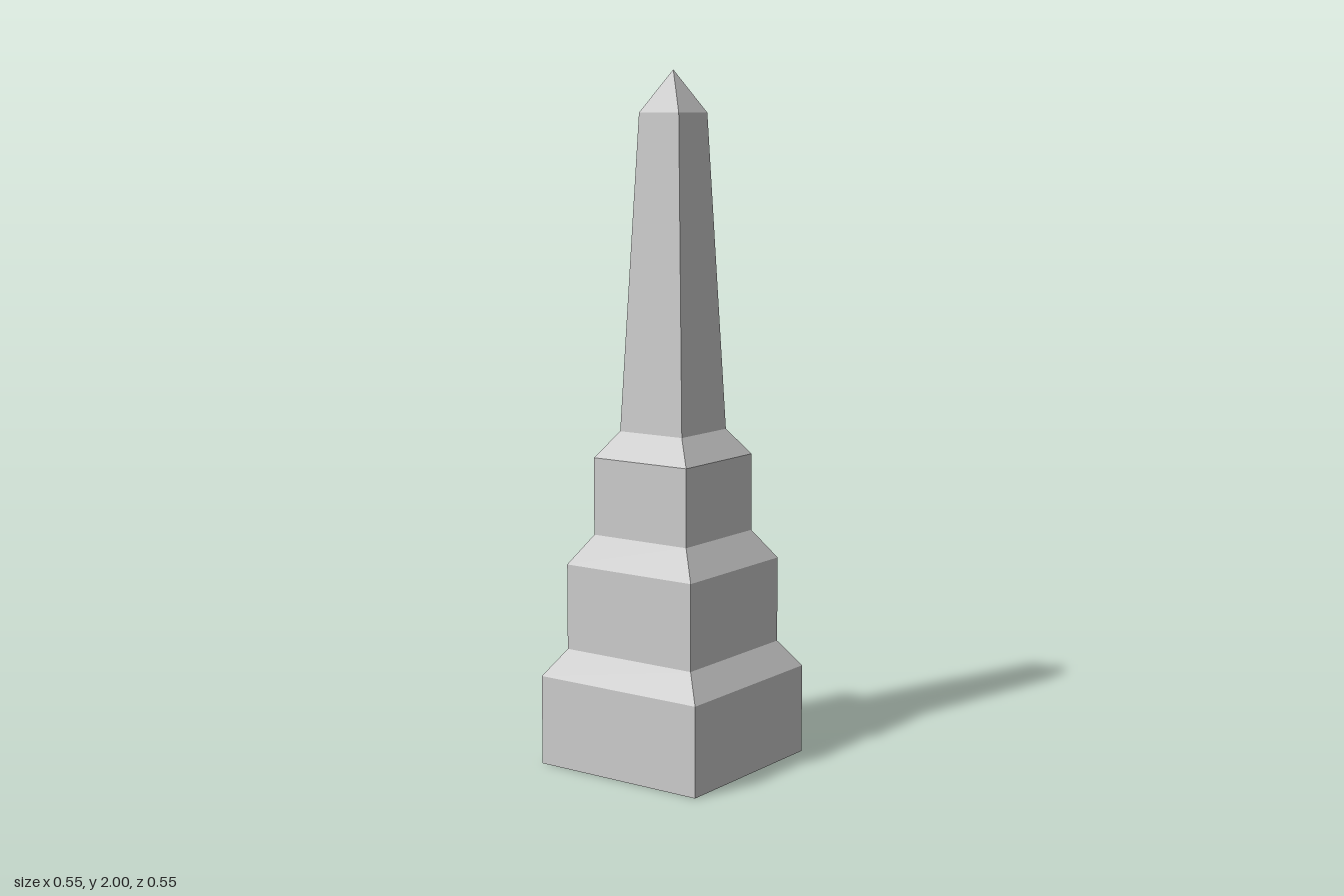
import * as THREE from 'three';

const material = new THREE.MeshStandardMaterial({ color: 0xcccccc, flatShading: true });

// Square frustum: half widths at bottom and top, between heights y0 and y1
function frustum(name, half0, half1, y0, y1) {
  const geometry = new THREE.CylinderGeometry(
    half1 * Math.SQRT2, half0 * Math.SQRT2, y1 - y0, 4, 1, true, Math.PI / 4);
  const mesh = new THREE.Mesh(geometry, material);
  mesh.name = name;
  mesh.position.y = (y0 + y1) / 2;
  return mesh;
}

export function createModel() {
  const group = new THREE.Group();
  group.name = 'obelisk';

  // Stepped pedestal, sloping ledges, tapered shaft and pointed cap
  const parts = [
    ['baseBlock', 0.273, 0.273, 0, 0.262],
    ['lowerLedge', 0.273, 0.219, 0.262, 0.34],
    ['middleBlock', 0.219, 0.219, 0.34, 0.59],
    ['middleLedge', 0.219, 0.163, 0.59, 0.675],
    ['upperBlock', 0.163, 0.163, 0.675, 0.9],
    ['upperLedge', 0.163, 0.109, 0.9, 0.975],
    ['shaft', 0.109, 0.069, 0.975, 1.88],
    ['pyramidCap', 0.069, 0, 1.88, 2],
  ];
  for (const part of parts) group.add(frustum(...part));

  // Closed bottom of the base block
  const underside = new THREE.Mesh(new THREE.PlaneGeometry(0.546, 0.546), material);
  underside.name = 'underside';
  underside.rotation.x = Math.PI / 2;
  group.add(underside);

  return group;
}
